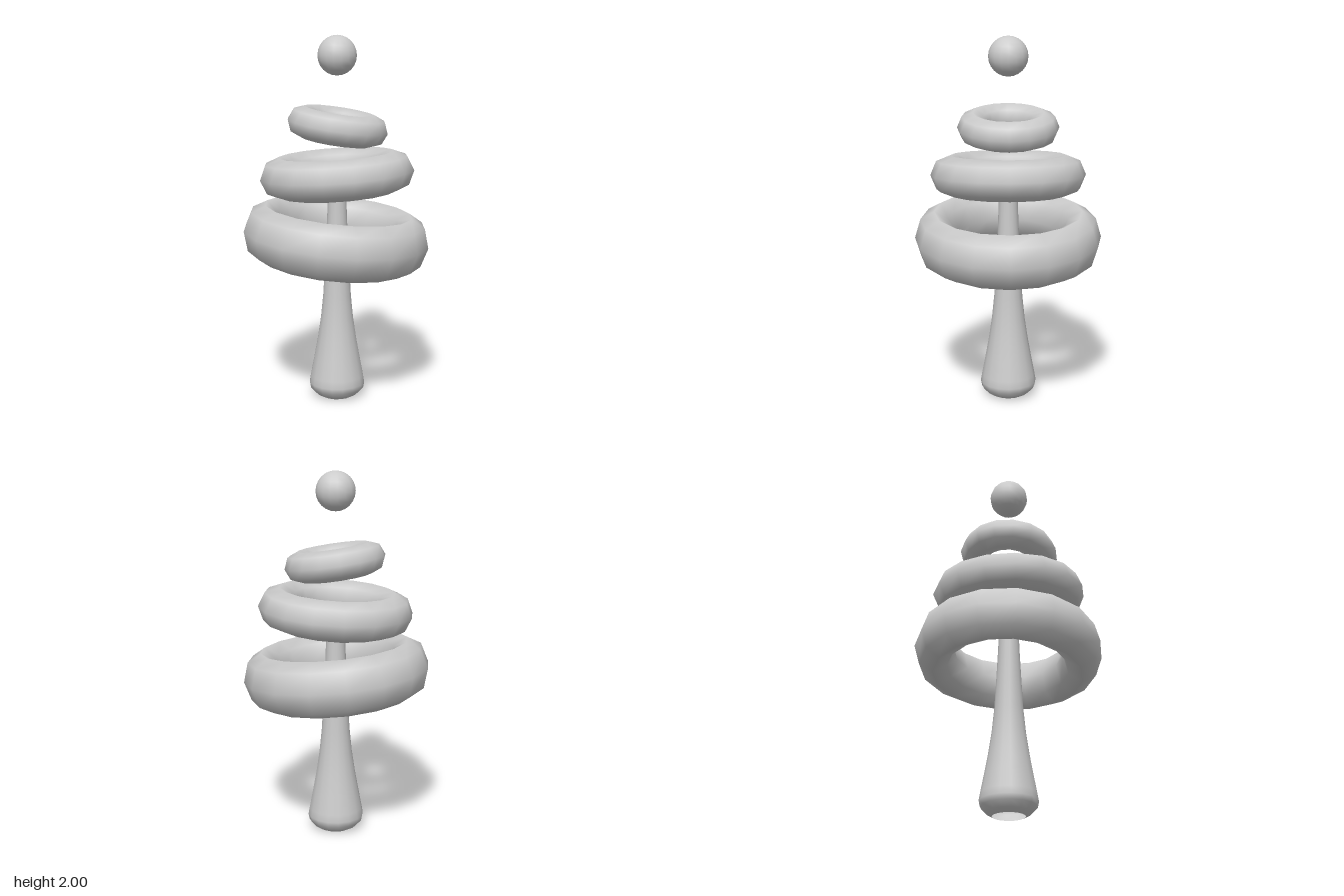
import * as THREE from 'three';

const material = new THREE.MeshStandardMaterial({ color: 0xcccccc });
const openMaterial = new THREE.MeshStandardMaterial({ color: 0xcccccc, side: THREE.DoubleSide });

function addPart(group, name, geometry, x, y, tilt = 0, mat = material) {
  const mesh = new THREE.Mesh(geometry, mat);
  mesh.name = name;
  mesh.position.set(x, y, 0);
  mesh.rotation.z = tilt;
  group.add(mesh);
}

// Low-poly ring lying flat; stretch scales the height of its tube
function ringGeometry(radius, tube, stretch) {
  return new THREE.TorusGeometry(radius, tube, 8, 16)
    .rotateX(Math.PI / 2)
    .scale(1, stretch, 1);
}

export function createModel() {
  const group = new THREE.Group();
  group.name = 'stackingRings';

  // Hollow flared pole, open at both ends: rounded foot tapering to a slim top
  const profile = [
    [0.088, 0], [0.12, 0.018], [0.149, 0.05], [0.155, 0.08], [0.148, 0.12],
    [0.129, 0.22], [0.109, 0.33], [0.091, 0.45], [0.078, 0.58],
    [0.068, 0.75], [0.059, 0.92], [0.053, 1.08], [0.048, 1.22],
  ].map(([r, y]) => new THREE.Vector2(r, y));
  addPart(group, 'pole', new THREE.LatheGeometry(profile, 16), 0.006, 0, 0, openMaterial);

  // Three loose rings, each tilted a little
  addPart(group, 'largeRing', ringGeometry(0.404, 0.107, 1.4), 0, 0.91, -0.1);
  addPart(group, 'mediumRing', ringGeometry(0.312, 0.11, 0.98), 0.005, 1.258, 0.068);
  addPart(group, 'smallRing', ringGeometry(0.191, 0.084, 0.99), 0.009, 1.517, -0.15);

  // Ball floating above the stack
  addPart(group, 'ball', new THREE.SphereGeometry(0.107, 16, 12), 0.006, 1.893);

  return group;
}
